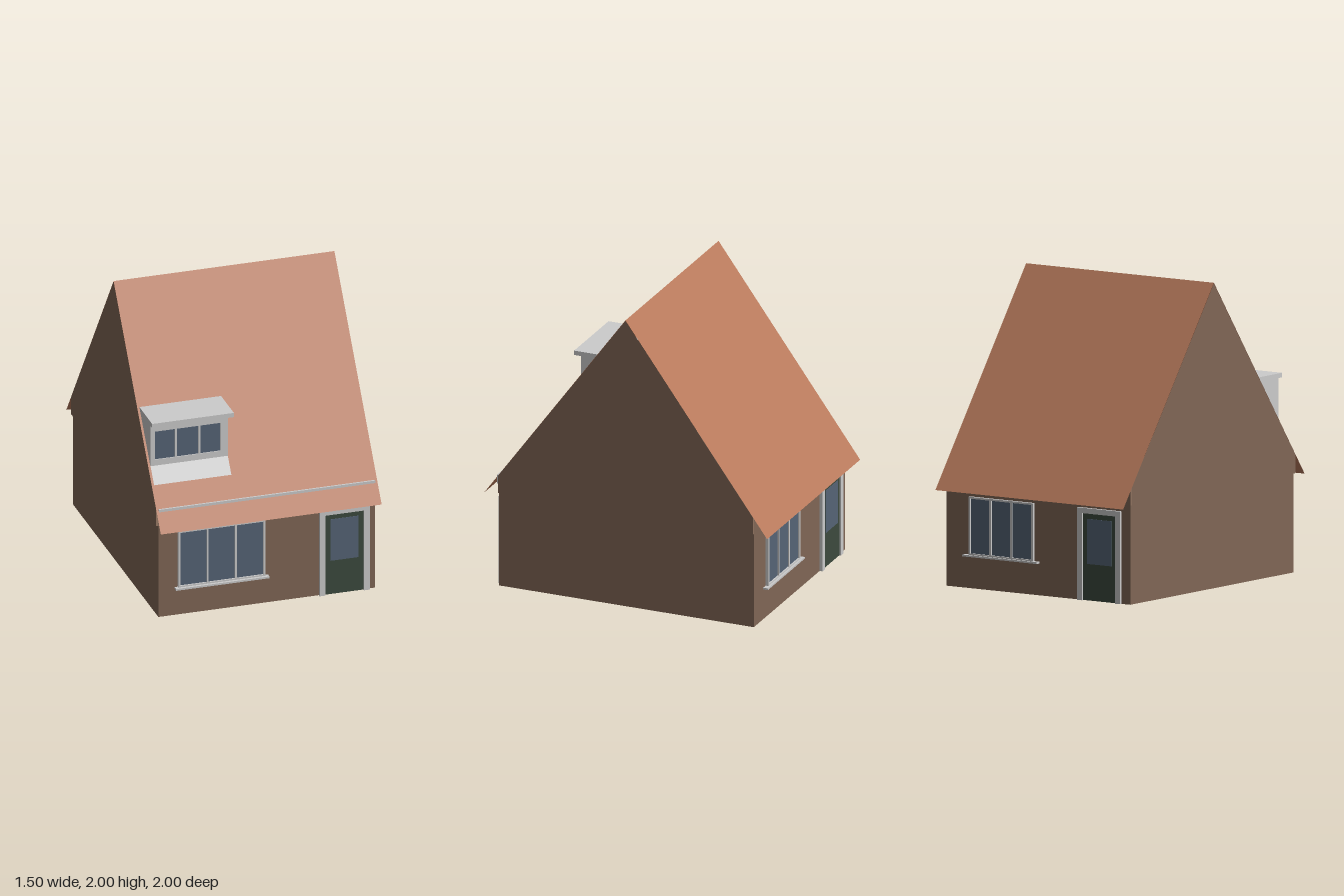
import * as THREE from 'three';

const mat = (color) => new THREE.MeshStandardMaterial({ color, side: THREE.DoubleSide });
const brick = mat(0x806655), tile = mat(0xb87a5c), grey = mat(0xcccccc);
const glass = mat(0x566476), doorGreen = mat(0x3c4a3e);

function add(parent, name, geometry, material) {
  const mesh = new THREE.Mesh(geometry, material);
  mesh.name = name;
  parent.add(mesh);
  return mesh;
}

// Box given by its limits on each axis
function block(parent, name, [x0, x1], [y0, y1], [z0, z1], material) {
  const g = new THREE.BoxGeometry(x1 - x0, y1 - y0, z1 - z0);
  g.translate((x0 + x1) / 2, (y0 + y1) / 2, (z0 + z1) / 2);
  return add(parent, name, g, material);
}

// Thin sheet: a line of [z, y] points, run from front to back, swept along x
function sheet(parent, name, points, x0, x1, material) {
  const pos = [];
  for (let i = 0; i < points.length - 1; i++) {
    const [z0, y0] = points[i], [z1, y1] = points[i + 1];
    pos.push(x0, y0, z0, x1, y0, z0, x1, y1, z1, x0, y0, z0, x1, y1, z1, x0, y1, z1);
  }
  const g = new THREE.BufferGeometry();
  g.setAttribute('position', new THREE.Float32BufferAttribute(pos, 3));
  g.computeVertexNormals();
  return add(parent, name, g, material);
}

// Flat polygon of [z, y] points standing at a given x, facing away from the centre
function sidePanel(parent, name, points, x, material) {
  const s = Math.sign(x);
  const shape = new THREE.Shape(points.map(([z, y]) => new THREE.Vector2(-s * z, y)));
  const m = add(parent, name, new THREE.ShapeGeometry(shape), material);
  m.rotation.y = s * Math.PI / 2;
  m.position.x = x;
}

const rect = (x0, x1, y0, y1) => [[x0, y0], [x1, y0], [x1, y1], [x0, y1]]
  .map(([x, y]) => new THREE.Vector2(x, y));

// Frame with rectangular openings, glass set just behind its face
function windowUnit(parent, name, [x0, x1], [y0, y1], panes, [py0, py1], z, depth) {
  const group = new THREE.Group();
  group.name = name;
  const shape = new THREE.Shape(rect(x0, x1, y0, y1));
  for (const [a, b] of panes) shape.holes.push(new THREE.Path(rect(a, b, py0, py1)));
  const g = new THREE.ExtrudeGeometry(shape, { depth, bevelEnabled: false });
  g.translate(0, 0, z);
  add(group, 'windowFrame', g, grey);
  for (const [a, b] of panes) block(group, 'windowPane', [a, b], [py0, py1], [z + 0.001, z + depth * 0.5], glass);
  parent.add(group);
}

// Split a width into three panes with a rim and two mullions
function threePanes(x0, x1, rim, bar) {
  const w = (x1 - x0 - 2 * rim - 2 * bar) / 3;
  return [0, 1, 2].map((i) => [x0 + rim + i * (w + bar), x0 + rim + i * (w + bar) + w]);
}

// Window and door of one facade, built facing +z
function facade(name, wx, wy, sillX, sillY, doorX0) {
  const group = new THREE.Group();
  group.name = name;
  windowUnit(group, 'groundFloorWindow', wx, wy, threePanes(wx[0], wx[1], 0.013, 0.013),
    [wy[0] + 0.01, wy[1] - 0.012], 0.9, 0.02);
  block(group, 'windowSill', sillX, sillY, [0.9, 0.933], grey);

  const door = new THREE.Group();
  door.name = 'door';
  const d = doorX0;
  block(door, 'doorPostLeft', [d + 0.3, d + 0.34], [0, 0.605], [0.9, 0.92], grey);
  block(door, 'doorPostRight', [d, d + 0.04], [0, 0.605], [0.9, 0.92], grey);
  block(door, 'doorLintel', [d + 0.04, d + 0.3], [0.57, 0.605], [0.9, 0.92], grey);
  block(door, 'doorLeaf', [d + 0.04, d + 0.3], [0.002, 0.57], [0.901, 0.91], doorGreen);
  block(door, 'doorGlass', [d + 0.075, d + 0.265], [0.24, 0.535], [0.905, 0.913], glass);
  group.add(door);
  return group;
}

export function createModel() {
  const house = new THREE.Group();
  house.name = 'house';
  const W = 0.735, R = 0.75, D = 0.9;
  const roofY = (z) => 2 - 1.365 * Math.abs(z);

  // Walls, open underneath, with the upper floor as a ceiling
  sheet(house, 'frontWall', [[D, 0], [D, 0.77]], -W, W, brick);
  sheet(house, 'backWall', [[-D, 0.77], [-D, 0]], -W, W, brick);
  sheet(house, 'upperFloor', [[D, 0.65], [-D, 0.65]], -R, R, brick);
  for (const s of [-1, 1]) {
    sidePanel(house, 'sideWall', [[-D, 0], [D, 0], [D, 0.65], [-D, 0.65]], s * W, brick);
    sidePanel(house, 'sideBand', [[-D, 0.65], [D, 0.65], [D, 0.77], [-D, 0.77]], s * R, brick);
    sidePanel(house, 'gable', [[-D, 0.77], [D, 0.77], [0, 1.995]], s * R, brick);
  }

  // Roof sheet overhanging front and back
  sheet(house, 'roof', [[1, roofY(1)], [0, 2], [-1, roofY(1)]], -R, R, tile);
  block(house, 'gutter', [-W, W], [0.71, 0.77], [D, 0.914], grey);

  // Facades: the back is turned about the vertical axis
  house.add(facade('frontFacade', [-0.605, -0.015], [0.2, 0.6], [-0.625, 0.01], [0.185, 0.198], 0.355));
  const back = facade('backFacade', [-0.545, -0.03], [0.22, 0.6], [-0.585, 0.01], [0.208, 0.22], 0.325);
  back.rotation.y = Math.PI;
  house.add(back);

  // Dormer: wedge body, window, flat roof and sloping apron
  const dormer = new THREE.Group();
  dormer.name = 'dormer';
  const x0 = -0.735, x1 = -0.21, zf = 0.733;
  sheet(dormer, 'dormerTop', [[zf - 0.012, 1.29], [0.52, 1.29]], x0, x1, grey);
  for (const x of [x0, x1]) {
    const cheek = new THREE.Shape([[zf - 0.012, 1.0], [zf - 0.012, 1.29], [0.51, 1.29], [0.72, 1.0]]
      .map(([z, y]) => new THREE.Vector2(-z, y)));
    const g = new THREE.ExtrudeGeometry(cheek, { depth: 0.01, bevelEnabled: false });
    g.rotateY(Math.PI / 2);
    g.translate(x === x0 ? x0 : x1 - 0.01, 0, 0);
    add(dormer, 'dormerCheek', g, grey);
  }
  windowUnit(dormer, 'dormerWindow', [x0, x1], [1.0, 1.29],
    [[-0.705, -0.57], [-0.555, -0.41], [-0.395, -0.26]], [1.045, 1.245], zf - 0.012, 0.014);
  block(dormer, 'dormerRoof', [x0, -0.18], [1.29, 1.32], [0.498, 0.77], grey);
  sheet(dormer, 'dormerApron', [[0.81, roofY(0.81) + 0.006], [zf, roofY(zf) + 0.006]], x0, x1, grey);
  house.add(dormer);

  return house;
}
